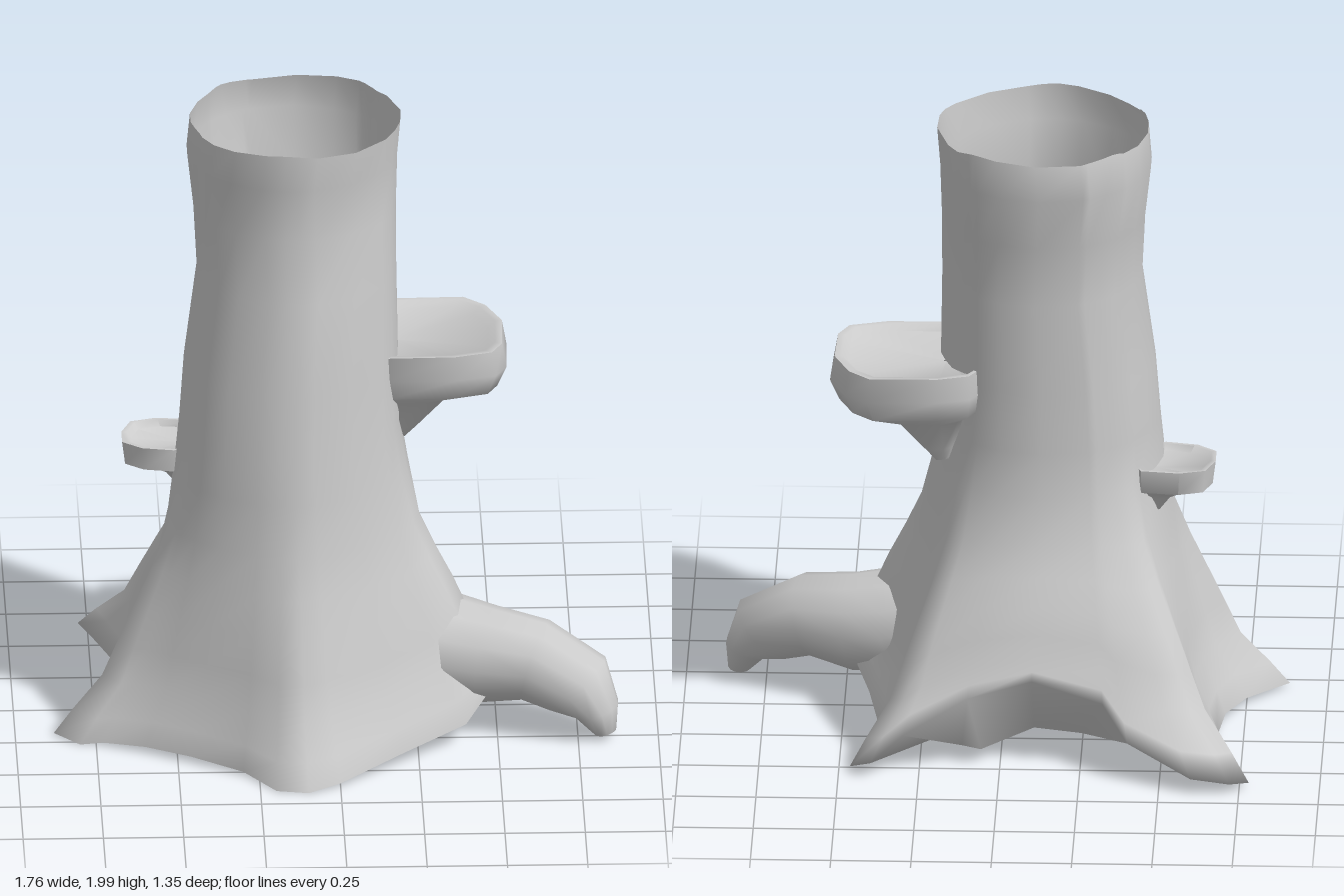
import * as THREE from 'three';
import { toCreasedNormals } from 'three/addons/utils/BufferGeometryUtils.js';

const material = new THREE.MeshStandardMaterial({ color: 0xcccccc, side: THREE.DoubleSide });
const V = (x, y, z) => new THREE.Vector3(x, y, z);

// Skin a list of closed rings that all have the same number of points.
function loft(rings) {
  const n = rings[0].length, index = [];
  for (let i = 0; i < rings.length - 1; i++) {
    for (let j = 0; j < n; j++) {
      const k = (j + 1) % n, a = i * n + j, b = i * n + k;
      index.push(a, a + n, b, b, a + n, b + n);
    }
  }
  const geometry = new THREE.BufferGeometry().setFromPoints(rings.flat());
  geometry.setIndex(index);
  geometry.computeVertexNormals();
  return geometry;
}

function part(name, geometry) {
  const mesh = new THREE.Mesh(geometry, material);
  mesh.name = name;
  return mesh;
}

// Trunk foot: x, z, y around the outline with its roots.
const FOOT = [
  [.5, .09, .2], [.49, .21, .17], [.4, .31, .08], [.2, .46, .05], [0, .62, .02], [-.1, .67, .01],
  [-.2, .65, .01], [-.3, .52, .02], [-.46, .42, .03], [-.6, .34, .03], [-.73, .28, .02], [-.8, .27, .01],
  [-.88, .2, .02], [-.75, .05, .03], [-.69, -.1, .04], [-.67, -.28, .04], [-.74, -.52, .03], [-.78, -.63, .03],
  [-.72, -.67, .04], [-.6, -.68, .06], [-.4, -.59, .14], [-.32, -.515, .24], [-.1, -.51, .31], [.1, -.51, .25],
  [.3, -.55, .14], [.4, -.585, .06], [.465, -.54, .03], [.4, -.44, .05], [.38, -.3, .06], [.42, -.08, .09],
];

// Inner edge of the underside behind, from foot point 16 on: x, z.
const UNDER_START = 16;
const UNDERSIDE = [
  [-.66, -.48], [-.67, -.55], [-.65, -.57], [-.58, -.54], [-.38, -.37], [-.25, -.32], [-.1, -.28],
  [.06, -.46], [.12, -.43], [.2, -.37], [.27, -.31], [.31, -.26], [.36, -.2],
];

// Flare: height and share of the foot outline still present there.
const FLARE = [[0, 1], [.08, .84], [.19, .6], [.3, .48], [.42, .35], [.55, .21], [.68, .09]];

// Stem: height, min x, max x, min z, max z.
const STEM = [
  [.85, -.5, .23, -.335, .365], [1, -.485, .205, -.33, .355], [1.2, -.47, .2, -.335, .33],
  [1.5, -.43, .195, -.34, .3], [1.7, -.44, .195, -.345, .25], [1.88, -.46, .2, -.4, .28], [2, -.45, .21, -.38, .28],
];

function stemRing([y, x0, x1, z0, z1]) {
  return FOOT.map(([x, z], j) => {
    const a = Math.atan2(z + .03, x + .12);
    const chip = y === 2 ? .006 * (1 - Math.cos(j * Math.PI / 3)) : 0;
    return V((x0 + x1) / 2 + (x1 - x0) / 2 * Math.cos(a), y - chip, (z0 + z1) / 2 + (z1 - z0) / 2 * Math.sin(a));
  });
}

function trunk() {
  const lower = stemRing(STEM[0]);
  const under = FOOT.map(([x, z, y], j) => {
    const inner = UNDERSIDE[j - UNDER_START];
    return inner ? V(inner[0], .06, inner[1]) : V(x * .98, y, z * .98);
  });
  // The raised stretches of the foot swell outward above it.
  const flare = FLARE.map(([y, w]) => FOOT.map(([x, z, lift], j) => {
    const swell = w + .9 * lift * Math.sin(Math.PI * w);
    return V(THREE.MathUtils.lerp(lower[j].x, x, swell), y + lift * w, THREE.MathUtils.lerp(lower[j].z, z, swell));
  }));
  return loft([under, ...flare, ...STEM.map(stemRing)]);
}

// Raised root: x, y, z, radius in the bend, sideways radius, tilt.
function raisedRoot() {
  const path = [
    [.2, .3, .08, .15, .17, .2], [.34, .26, .1, .165, .175, .2], [.47, .24, .13, .155, .155, .1],
    [.62, .24, .18, .13, .14, .25], [.75, .175, .22, .12, .125, .8], [.81, .1, .25, .07, .085, 1.25],
    [.835, .03, .255, .035, .05, 1.4], [.835, .02, .255, .001, .001, 1.4],
  ];
  return loft(path.map(([x, y, z, rv, rh, tilt]) => Array.from({ length: 12 }, (_, j) => {
    const a = j / 12 * Math.PI * 2, c = Math.cos(a) * rv, s = -Math.sin(a) * rh;
    return V(x + c * Math.sin(tilt) * .96 - s * .26, y + c * Math.cos(tilt), z + c * Math.sin(tilt) * .26 + s * .96);
  })));
}

// Shelf fungus: an outline shrunk toward its anchor at each level,
// from stalk through underside and rim to the dish.
function shelf(outline, [ax, az], levels) {
  const rings = levels.map(([sx, sz, y]) =>
    outline.map(([x, z]) => V(ax + (x - ax) * sx, y, az + (z - az) * sz)));
  return toCreasedNormals(loft(rings), 1);
}

export function createModel() {
  const group = new THREE.Group();
  group.name = 'treeStump';
  group.add(part('trunk', trunk()));
  group.add(part('raisedRoot', raisedRoot()));

  const large = [[.54, -.15], [.535, .03], [.5, .1], [.38, .135], [.16, .14], [.05, .02], [.04, -.2],
    [.1, -.3], [.2, -.33], [.42, -.335], [.49, -.27]];
  group.add(part('largeShelf', shelf(large, [.18, -.09], [
    [.12, .4, .92], [.24, .55, .97], [.5, .78, 1.075], [.92, .95, 1.105], [1, 1, 1.17], [.96, 1, 1.25],
    [.9, .92, 1.25], [.84, .86, 1.23], [.02, .02, 1.215],
  ])));

  const small = [[-.395, -.13], [-.41, -.03], [-.5, .03], [-.6, .01], [-.66, -.04], [-.66, -.12], [-.63, -.2],
    [-.55, -.225], [-.43, -.21]];
  group.add(part('smallShelf', shelf(small, [-.47, -.1], [
    [.1, .3, .74], [.3, .55, .79], [.55, .8, .815], [.95, .95, .825], [1, 1, .9],
    [.92, .92, .9], [.84, .84, .88], [.02, .02, .87],
  ])));
  return group;
}
